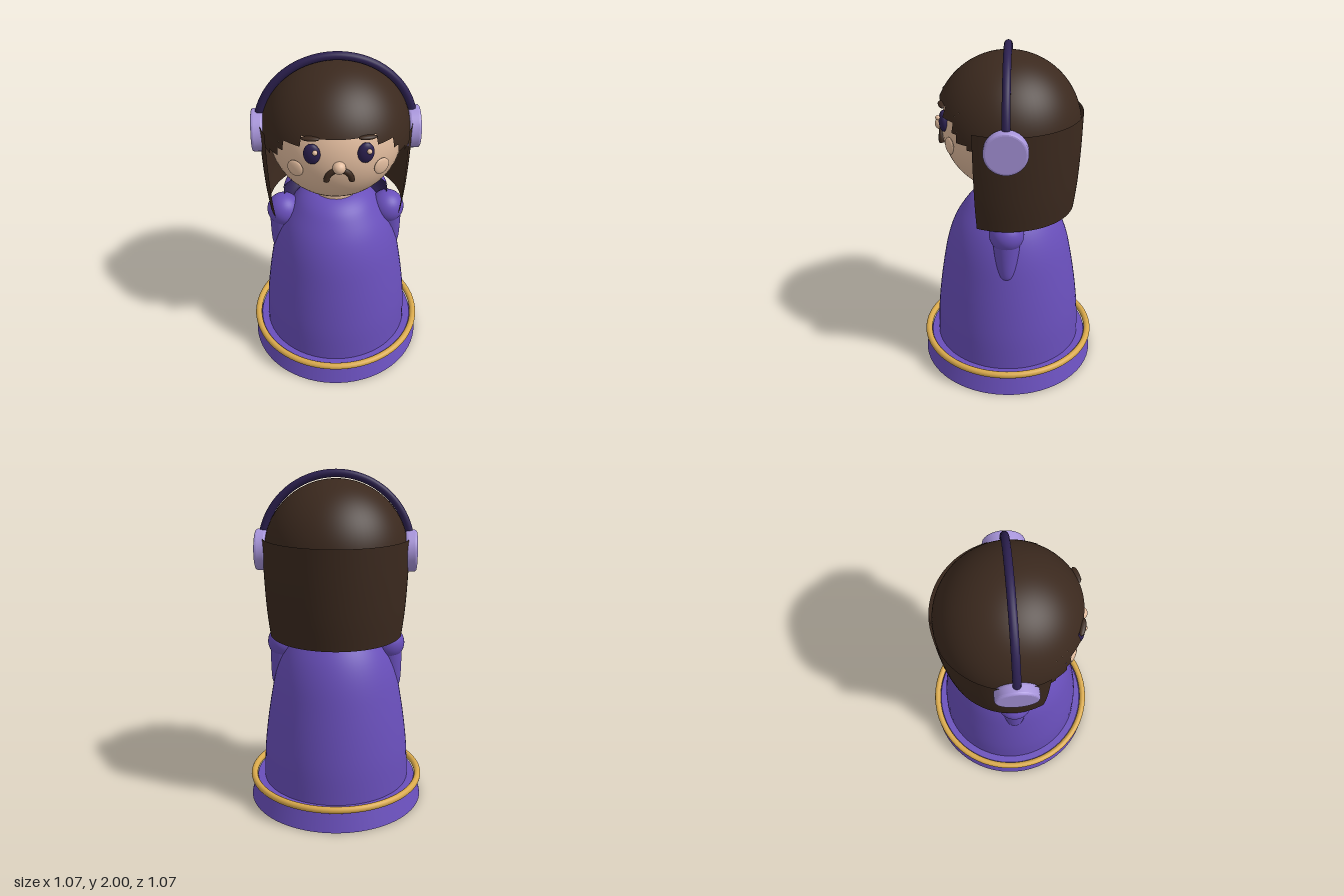
import * as THREE from 'three';
import { toCreasedNormals } from 'three/addons/utils/BufferGeometryUtils.js';

const mat = (name, color, side = THREE.FrontSide) => {
  const m = new THREE.MeshStandardMaterial({ color, side });
  m.name = name;
  return m;
};

export function createModel() {
  const model = new THREE.Group();
  const purple = mat('purple cloth', 0x694fbb);
  const navy = mat('dark violet', 0x2c2050, THREE.DoubleSide);
  const brown = mat('brown hair', 0x3b291e, THREE.DoubleSide);
  const skin = mat('skin', 0xe2bc9e);
  const gold = mat('gold', 0xd9a94b);
  const lilac = mat('lilac', 0xa794da);

  const add = (name, geo, material, x = 0, y = 0, z = 0) => {
    const mesh = new THREE.Mesh(geo, material);
    mesh.name = name;
    mesh.position.set(x, y, z);
    model.add(mesh);
    return mesh;
  };
  const rad = THREE.MathUtils.degToRad;
  const ball = (r, w = 32, h = 20) => new THREE.SphereGeometry(r, w, h);
  const vecs = pts => pts.map(p => new THREE.Vector2(...p));
  // smooth lathe through a few [radius, height] points
  const smoothLathe = (pts, n, ...arc) => new THREE.LatheGeometry(
    new THREE.SplineCurve(vecs(pts)).getPoints(n), 64, ...arc);

  // Base with gold ring
  add('base', new THREE.CylinderGeometry(0.49, 0.531, 0.13, 64), purple, 0, 0.065, 0);
  add('goldRing', new THREE.TorusGeometry(0.513, 0.02, 14, 72), gold, 0, 0.138, 0)
    .rotation.x = Math.PI / 2;

  // Dress
  add('dress', smoothLathe([[0.447, 0.125], [0.44, 0.3], [0.425, 0.45], [0.4, 0.62], [0.365, 0.8],
    [0.32, 0.93], [0.26, 1.03], [0.2, 1.1], [0.12, 1.14], [0, 1.148]], 36), purple);

  // Lowered hood: dark half ring behind the neck with a purple shell outside
  add('hoodLining', new THREE.TorusGeometry(0.22, 0.087, 20, 32, Math.PI).rotateX(-Math.PI / 2),
    navy, 0, 1.11, 0);
  const shell = [];
  for (let a = -120; a <= 60; a += 12) {
    shell.push([0.22 + 0.09 * Math.cos(rad(a)), 0.09 * Math.sin(rad(a))]);
  }
  add('hood', new THREE.LatheGeometry(vecs(shell), 32, Math.PI / 2, Math.PI), purple, 0, 1.11, 0);

  // Neck and head
  add('neck', new THREE.CylinderGeometry(0.125, 0.13, 0.1, 32), skin, 0, 1.15, 0);
  add('head', ball(0.375, 56, 36), skin, 0, 1.53, 0);

  // Hair cap: dome plus hanging strips forming a stepped fringe, angles in degrees from front
  const R = 0.417;
  const polar = y => Math.acos((y - 1.53) / R);
  add('hairDome', new THREE.SphereGeometry(R, 72, 22, 0, Math.PI * 2, 0, polar(1.7)), brown, 0, 1.53, 0);
  const strip = (a0, a1, y) => add('hairStrip', new THREE.SphereGeometry(
    R, Math.ceil((a1 - a0) / 5), 8, Math.PI / 2 + rad(a0), rad(a1 - a0),
    polar(1.7), polar(y) - polar(1.7)), brown, 0, 1.53, 0);
  for (const [a0, a1, y] of [[30, 45, 1.645], [45, 50, 1.59], [50, 60, 1.545]]) {
    strip(a0, a1, y);
    strip(-a1, -a0, y);
  }
  strip(60, 300, 1.52);

  // Long hair around the back and sides
  add('longHair', smoothLathe([[0.39, 1.045], [0.408, 1.2], [0.42, 1.4], [0.426, 1.62]], 12,
    rad(65), rad(230)), brown);

  // Headphone band
  add('headphoneBand', new THREE.TorusGeometry(0.432, 0.023, 14, 56, Math.PI), navy, 0, 1.545, 0);

  // Mirrored parts
  for (const s of [-1, 1]) {
    // Ear cup with rounded rims
    const cup = new THREE.LatheGeometry(vecs([[0, -0.034], [0.106, -0.034], [0.113, -0.032],
      [0.118, -0.027], [0.12, -0.02], [0.12, 0.02], [0.118, 0.027], [0.113, 0.032],
      [0.106, 0.034], [0, 0.034]]), 40);
    add('earCup', toCreasedNormals(cup, 0.25), lilac, s * 0.432, 1.54, 0).rotation.z = Math.PI / 2;

    // Shoulder and tapering arm
    add('shoulder', ball(0.1), purple, s * 0.31, 0.985, 0);
    const arm = smoothLathe([[0, -0.145], [0.03, -0.137], [0.05, -0.11], [0.068, 0], [0.08, 0.13],
      [0.06, 0.16], [0, 0.17]], 24);
    add('arm', arm, purple, s * 0.327, 0.85, 0).rotation.z = s * 0.11;
    model.children.at(-1).scale.y = 1.02;

    // Eye, highlight, brow and cheek
    const eye = add('eye', ball(1), navy, s * 0.14, 1.6, 0.35);
    eye.scale.set(0.045, 0.06, 0.026);
    eye.rotation.y = s * 0.2;
    add('eyeHighlight', ball(0.014, 16, 12), skin, s * 0.14 + 0.016, 1.624, 0.378);
    const brow = add('eyebrow', ball(1, 24, 12), brown, s * 0.147, 1.697, 0.357);
    brow.scale.set(0.05, 0.012, 0.018);
    brow.rotation.set(0, s * 0.25, -s * 0.06);
    const cheek = add('cheek', ball(1, 28, 14), skin, s * 0.228, 1.49, 0.312);
    cheek.scale.set(0.048, 0.048, 0.013);
    cheek.rotation.y = s * 0.55;
  }

  // Nose and frowning mouth
  add('nose', ball(0.035), skin, 0, 1.53, 0.381);
  add('mouth', new THREE.TorusGeometry(0.067, 0.016, 12, 28, Math.PI), brown, 0, 1.445, 0.374);

  return model;
}
